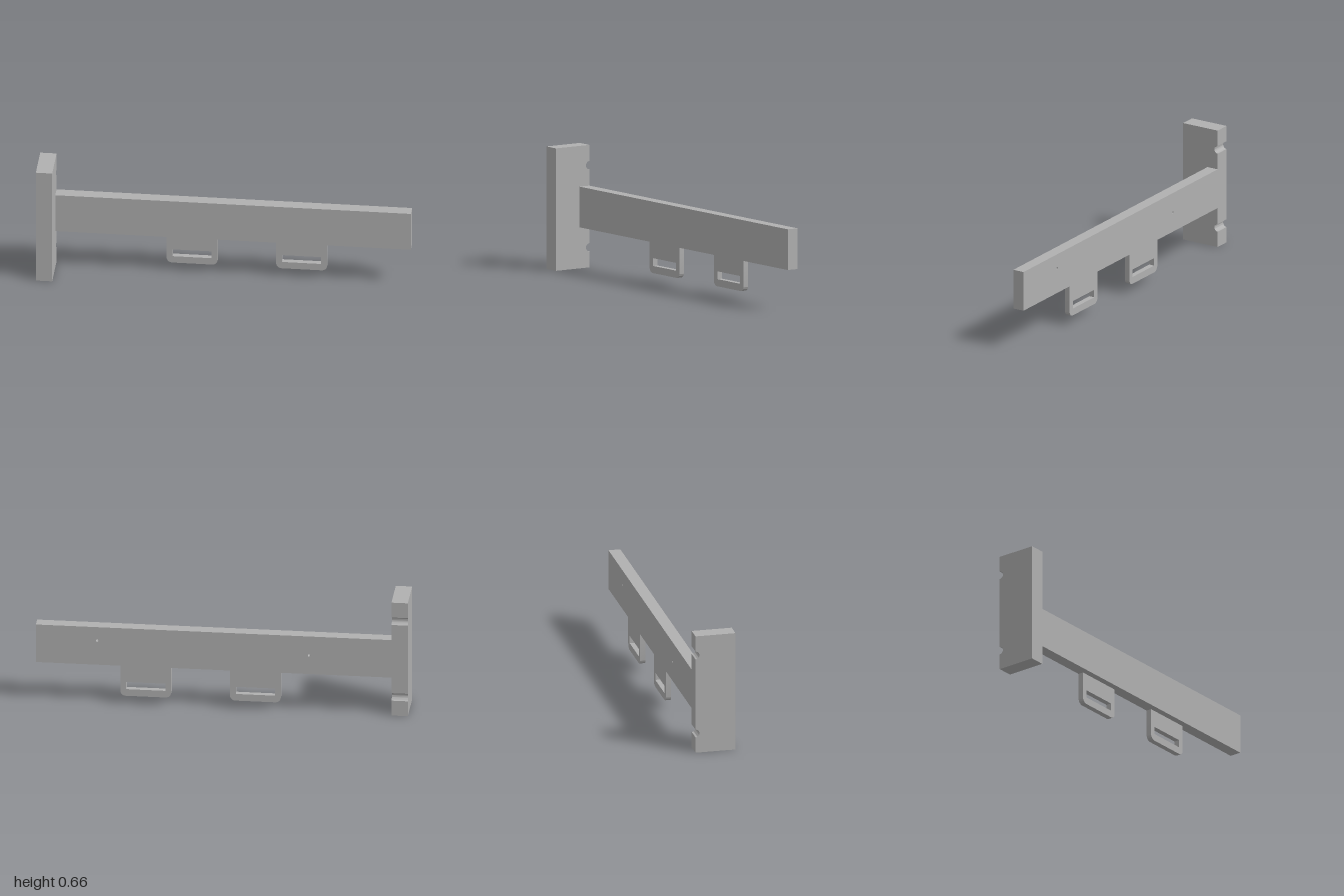
import * as THREE from 'three';
import { toCreasedNormals } from 'three/addons/utils/BufferGeometryUtils.js';

const BACK = -0.11;

const extrude = (shape, depth) => toCreasedNormals(
  new THREE.ExtrudeGeometry(shape, { depth, bevelEnabled: false, curveSegments: 16 }), 0.6);

function rect(Type, x0, y0, x1, y1) {
  return new Type([[x0, y0], [x1, y0], [x1, y1], [x0, y1]].map(p => new THREE.Vector2(...p)));
}

export function createModel() {
  const group = new THREE.Group();
  const grey = new THREE.MeshStandardMaterial({ color: 0xb0b0b0 });
  grey.name = 'grey';

  const add = (name, geometry, x = 0, y = 0, z = 0) => {
    const mesh = new THREE.Mesh(geometry, grey);
    mesh.name = name;
    mesh.position.set(x, y, z);
    group.add(mesh);
  };

  // End plate: side profile with two half-round notches in the back edge
  const plate = new THREE.Shape();
  plate.moveTo(BACK, 0);
  plate.lineTo(0.11, 0);
  plate.lineTo(0.11, 0.662);
  plate.lineTo(BACK, 0.662);
  for (const y of [0.553, 0.109]) {
    plate.lineTo(BACK, y + 0.022);
    plate.absarc(BACK, y, 0.022, Math.PI / 2, -Math.PI / 2, true);
  }
  plate.closePath();
  add('endPlate', extrude(plate, 0.088).rotateY(-Math.PI / 2), -0.912);

  // Beam: solid front layer and a back layer pierced by two blind pin holes
  const x0 = -0.912, x1 = 1, y0 = 0.222, y1 = 0.442;
  const split = -0.08, front = -0.045;
  const drilled = rect(THREE.Shape, x0, y0, x1, y1);
  for (const x of [0.67, -0.469]) {
    const hole = new THREE.Path();
    hole.absarc(x, x > 0 ? 0.363 : 0.331, 0.007, 0, Math.PI * 2, true);
    drilled.holes.push(hole);
  }
  add('beamBack', extrude(drilled, split - BACK), 0, 0, BACK);
  add('beamFront', new THREE.BoxGeometry(x1 - x0, y1 - y0, front - split),
    (x0 + x1) / 2, (y0 + y1) / 2, (split + front) / 2);

  // Hanging tabs with rounded lower corners and a strap slot
  const w = 0.137, low = 0.047, r = 0.03;
  const tab = new THREE.Shape();
  tab.moveTo(-w, y0);
  tab.lineTo(-w, low + r);
  tab.absarc(-w + r, low + r, r, Math.PI, Math.PI * 1.5);
  tab.lineTo(w - r, low);
  tab.absarc(w - r, low + r, r, -Math.PI / 2, 0);
  tab.lineTo(w, y0);
  tab.closePath();
  tab.holes.push(rect(THREE.Path, -0.105, 0.086, 0.105, 0.128));
  const tabGeometry = extrude(tab, 0.03);
  add('rightTab', tabGeometry, -0.18, 0, BACK);
  add('leftTab', tabGeometry, 0.409, 0, BACK);

  return group;
}
